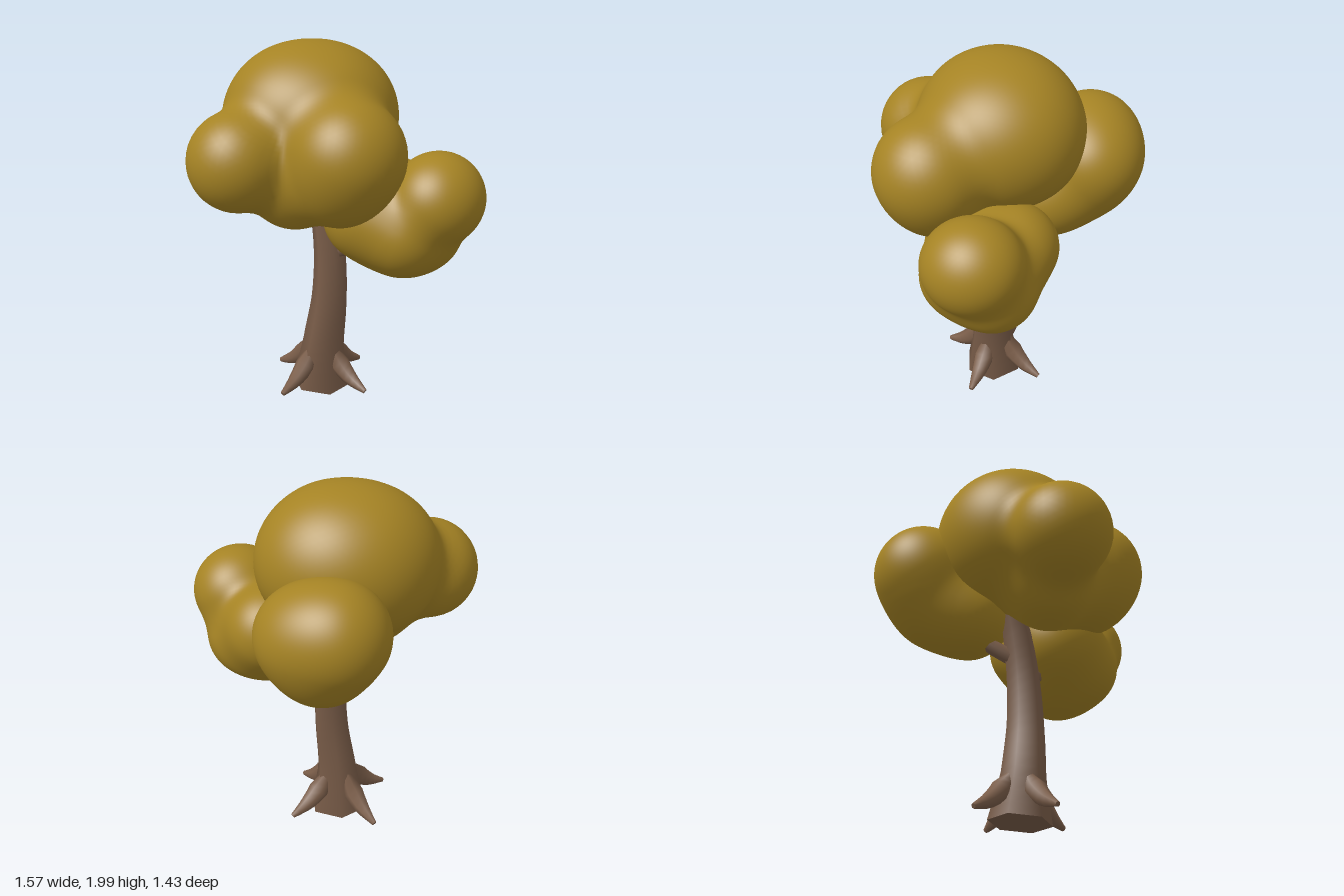
import * as THREE from 'three';
import { mergeGeometries, mergeVertices } from 'three/addons/utils/BufferGeometryUtils.js';

const V = (p) => new THREE.Vector3(...p);

// Tapered limb along a smooth path, with flat caps at both ends
function limb(points, radii, sides, segs) {
  const curve = new THREE.CatmullRomCurve3(points.map(V));
  const tube = new THREE.TubeGeometry(curve, segs, 1, sides);
  const pos = tube.attributes.position;
  const v = new THREE.Vector3();
  for (let i = 0; i <= segs; i++) {
    const c = curve.getPointAt(i / segs);
    const f = curve.getUtoTmapping(i / segs) * (radii.length - 1);
    const k = Math.min(Math.floor(f), radii.length - 2);
    const r = THREE.MathUtils.lerp(radii[k], radii[k + 1], f - k);
    for (let j = 0; j <= sides; j++) {
      const n = i * (sides + 1) + j;
      v.fromBufferAttribute(pos, n).sub(c).multiplyScalar(r).add(c);
      pos.setXYZ(n, v.x, v.y, v.z);
    }
  }
  const cap = (ring, forward) => {
    const c = curve.getPointAt(ring / segs);
    const dir = curve.getTangentAt(ring / segs).multiplyScalar(forward ? 1 : -1);
    const tris = [];
    for (let j = 0; j < sides; j++) {
      const a = new THREE.Vector3().fromBufferAttribute(pos, ring * (sides + 1) + j);
      const b = new THREE.Vector3().fromBufferAttribute(pos, ring * (sides + 1) + j + 1);
      const n = a.clone().sub(c).cross(b.clone().sub(c));
      tris.push(c, ...(n.dot(dir) > 0 ? [a, b] : [b, a]));
    }
    const g = new THREE.BufferGeometry().setFromPoints(tris);
    g.computeVertexNormals();
    return g;
  };
  const side = tube.toNonIndexed();
  side.deleteAttribute('uv');
  return mergeGeometries([side, cap(0, false), cap(segs, true)]);
}

// Leaf clump: a sphere shrink-wrapped onto softly blended balls [x, y, z, r]
function clump(centre, balls, blend) {
  const c = V(centre);
  const distance = (p) => {
    let d = Infinity;
    for (const [x, y, z, r] of balls) {
      const e = Math.hypot(p.x - x, p.y - y, p.z - z) - r;
      if (d === Infinity) { d = e; continue; }
      const h = Math.max(blend - Math.abs(d - e), 0) / blend;
      d = Math.min(d, e) - h * h * blend * 0.25;
    }
    return d;
  };
  let geo = new THREE.IcosahedronGeometry(1, 18);
  geo.deleteAttribute('uv');
  geo.deleteAttribute('normal');
  geo = mergeVertices(geo, 1e-4);
  const pos = geo.attributes.position;
  const dir = new THREE.Vector3();
  const p = new THREE.Vector3();
  for (let i = 0; i < pos.count; i++) {
    dir.fromBufferAttribute(pos, i).normalize();
    let t = 1.5;
    for (let s = 0; s < 120; s++) {
      p.copy(c).addScaledVector(dir, t);
      const d = distance(p);
      if (d < 0.0005) break;
      t -= d * 0.9;
    }
    pos.setXYZ(i, p.x, p.y, p.z);
  }
  geo.computeVertexNormals();
  return geo;
}

export function createModel() {
  const tree = new THREE.Group();
  tree.name = 'tree';
  const bark = new THREE.MeshStandardMaterial({ color: 0x7a5d49 });
  bark.name = 'bark brown';
  const leaf = new THREE.MeshStandardMaterial({ color: 0xa58324 });
  leaf.name = 'leaf ochre';
  const add = (name, geometry, material) => {
    const mesh = new THREE.Mesh(geometry, material);
    mesh.name = name;
    tree.add(mesh);
  };

  // Curved six-sided trunk with a flared foot
  add('trunk', limb(
    [[-0.077, 0.012, -0.035], [-0.06, 0.25, -0.033], [-0.032, 0.55, -0.053],
      [-0.04, 0.82, -0.065], [-0.08, 1.05, -0.065], [-0.15, 1.3, -0.06]],
    [0.168, 0.12, 0.1, 0.09, 0.08, 0.06], 6, 20), bark);

  // Four pointed roots around the foot, slightly uneven in angle
  for (let i = 0; i < 4; i++) {
    const a = i * Math.PI / 2 + (i % 2 ? 0.05 : -0.08);
    const at = (d, y) => [-0.075 + d * Math.cos(a), y, -0.037 + d * Math.sin(a)];
    add('root' + (i + 1), limb(
      [at(0.06, 0.26), at(0.125, 0.165), at(0.21, 0.09), at(0.31, 0.04)],
      [0.02, 0.06, 0.042, 0.014], 7, 8), bark);
  }

  // Side branches holding the two lower clumps
  add('leftBranch', limb(
    [[-0.04, 0.81, -0.07], [0.09, 0.89, -0.12], [0.3, 1.0, -0.22]],
    [0.05, 0.047, 0.03], 7, 6), bark);
  add('rightBranch', limb(
    [[-0.06, 0.92, -0.07], [-0.19, 1.01, -0.17], [-0.35, 1.18, -0.3]],
    [0.05, 0.042, 0.03], 7, 6), bark);

  // Crown: broad dome, front ball, side ball and underside
  add('crownLeaves', clump([-0.06, 1.48, 0.08], [
    [-0.19, 1.59, -0.03, 0.385],
    [-0.1, 1.585, -0.12, 0.375],
    [-0.04, 1.57, 0.0, 0.365],
    [-0.19, 1.575, 0.07, 0.365],
    [-0.2, 1.43, 0.455, 0.265],
    [0.27, 1.48, 0.14, 0.3],
    [0.21, 1.35, 0.14, 0.25],
    [-0.06, 1.3, 0.18, 0.265],
  ], 0.09), leaf);

  // Lower clump at the back on the right
  add('rightLeaves', clump([-0.42, 1.33, -0.37], [
    [-0.505, 1.42, -0.375, 0.275],
    [-0.39, 1.39, -0.45, 0.263],
    [-0.4, 1.26, -0.37, 0.25],
    [-0.27, 1.19, -0.27, 0.235],
  ], 0.09), leaf);

  // Lower clump at the back on the left
  add('leftLeaves', clump([0.38, 1.1, -0.22], [
    [0.535, 1.22, -0.285, 0.24],
    [0.55, 1.21, -0.22, 0.215],
    [0.4, 1.01, -0.29, 0.24],
    [0.41, 1.03, -0.14, 0.235],
    [0.3, 1.01, -0.22, 0.245],
    [0.23, 1.1, -0.09, 0.255],
    [0.2, 1.13, -0.3, 0.235],
  ], 0.08), leaf);

  return tree;
}
